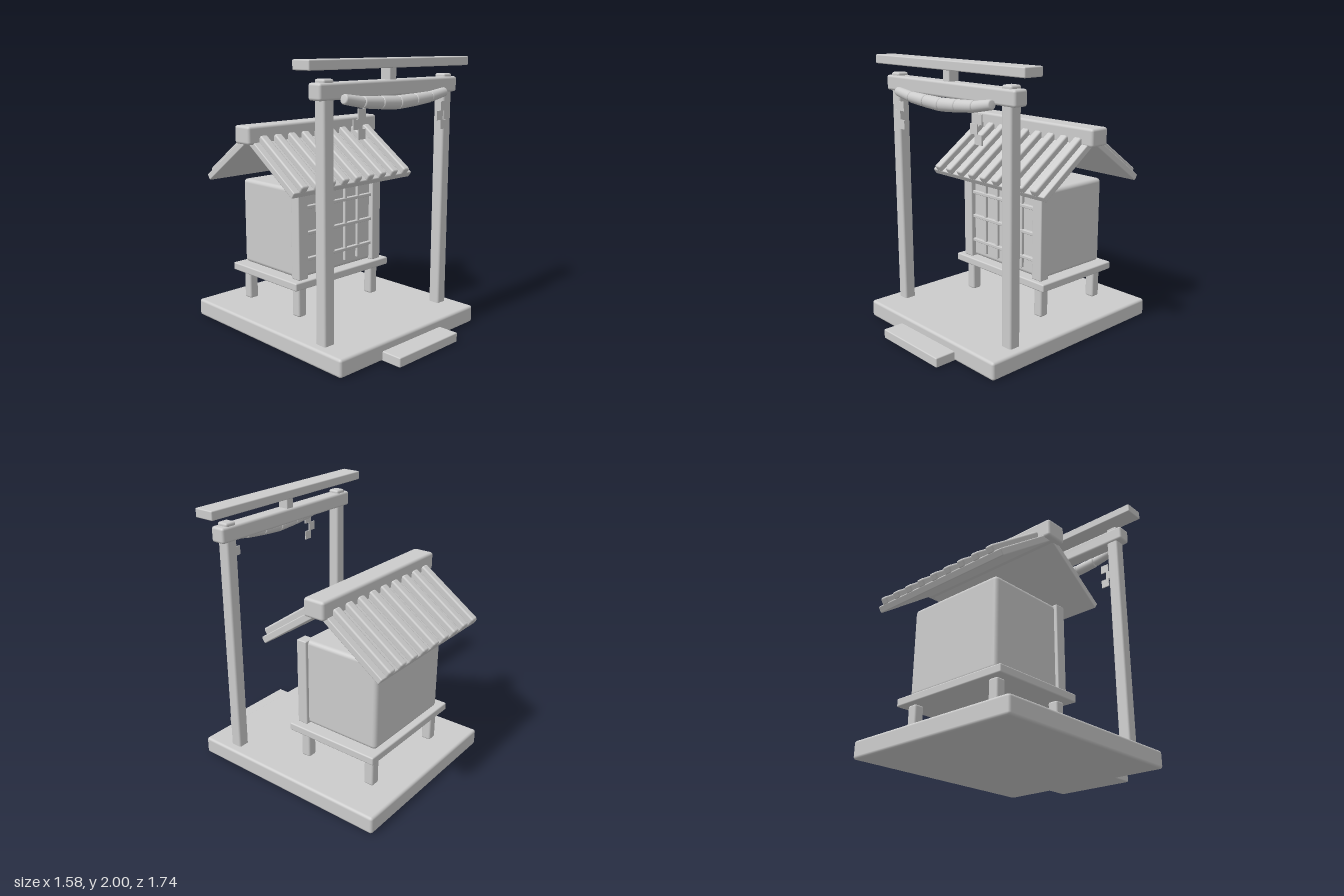
import * as THREE from 'three';
import { RoundedBoxGeometry } from 'three/addons/geometries/RoundedBoxGeometry.js';

const grey = new THREE.MeshStandardMaterial({ color: 0xcccccc });
grey.name = 'plain grey';

// Softly rounded block given by its lower and upper limits on each axis
function block(parent, name, [x0, x1], [y0, y1], [z0, z1], radius = 0.012) {
  const geometry = new RoundedBoxGeometry(x1 - x0, y1 - y0, z1 - z0, 2, radius);
  const mesh = new THREE.Mesh(geometry, grey);
  mesh.name = name;
  mesh.position.set((x0 + x1) / 2, (y0 + y1) / 2, (z0 + z1) / 2);
  parent.add(mesh);
  return mesh;
}

function part(parent, name) {
  const group = new THREE.Group();
  group.name = name;
  parent.add(group);
  return group;
}

const around = (c, w) => [c - w / 2, c + w / 2];

// Rope segment: rounded cylinder between two points
function ropeSegment(parent, a, b, r0, r1) {
  const length = a.distanceTo(b);
  const h = length / 2, c = 0.01;
  const profile = [
    [0, -h], [r0 - c, -h], [r0 - c * 0.3, -h + c * 0.3], [r0, -h + c],
    [r1, h - c], [r1 - c * 0.3, h - c * 0.3], [r1 - c, h], [0, h],
  ].map(([x, y]) => new THREE.Vector2(x, y));
  const mesh = new THREE.Mesh(new THREE.LatheGeometry(profile, 20), grey);
  mesh.name = 'ropeSegment';
  mesh.position.copy(a).add(b).multiplyScalar(0.5);
  mesh.quaternion.setFromUnitVectors(new THREE.Vector3(0, 1, 0), b.clone().sub(a).normalize());
  parent.add(mesh);
}

export function createModel() {
  const model = new THREE.Group();
  model.name = 'shrine';

  // Ground slab and front step
  block(model, 'base', [-0.705, 0.705], [0, 0.13], [-0.87, 0.715], 0.02);
  block(model, 'step', [-0.31, 0.31], [0, 0.07], [0.69, 0.87], 0.008);

  // Gate
  const gate = part(model, 'gate');
  for (const side of [-1, 1]) {
    block(gate, 'gatePost', around(side * 0.595, 0.09), [0.11, 1.88], around(0.457, 0.09), 0.015);
  }
  block(gate, 'lowerBeam', [-0.685, 0.685], [1.747, 1.857], [0.402, 0.515], 0.018);
  block(gate, 'strut', around(0, 0.066), [1.85, 1.945], around(0.457, 0.085), 0.006);
  block(gate, 'topBeam', [-0.79, 0.79], [1.935, 2], [0.38, 0.535], 0.008);

  // Sagging rope, mirrored about the middle
  const rope = part(gate, 'rope');
  const stops = [[0, 1.706, 0.047], [0.17, 1.714, 0.044], [0.34, 1.726, 0.038], [0.508, 1.754, 0.031]];
  for (const side of [-1, 1]) {
    for (let i = 0; i < 3; i++) {
      const [x0, y0, r0] = stops[i], [x1, y1, r1] = stops[i + 1];
      ropeSegment(rope, new THREE.Vector3(side * x0, y0, 0.54),
        new THREE.Vector3(side * x1, y1, 0.54), r0, (r0 + r1) / 2 - 0.001);
    }
  }

  // Zigzag paper streamers
  for (const x of [-0.397, 0.437]) {
    const streamer = part(gate, 'paperStreamer');
    for (let i = 0; i < 3; i++) {
      const piece = new THREE.Mesh(new THREE.BoxGeometry(0.067, 0.066, 0.009), grey);
      piece.name = 'paperFold';
      piece.position.set(x - (i === 1 ? 0.045 : 0), 1.66 - i * 0.065, 0.59);
      streamer.add(piece);
    }
  }

  // Raised floor on four legs
  const house = part(model, 'house');
  for (const x of [-0.377, 0.377]) {
    for (const z of [-0.052, -0.627]) {
      block(house, 'leg', around(x, 0.076), [0.13, 0.362], around(z, 0.076), 0.014);
    }
  }
  block(house, 'floor', [-0.483, 0.483], [0.358, 0.417], [-0.71, 0.035], 0.01);

  // Cabin with corner pillars
  block(house, 'cabin', [-0.4, 0.4], [0.417, 1.078], [-0.67, -0.035], 0.03);
  for (const side of [-1, 1]) {
    block(house, 'cornerPillar', around(side * 0.38, 0.09), [0.417, 1.078], [-0.08, 0.004], 0.008);
  }

  // Front lattice
  const lattice = part(house, 'lattice');
  for (let i = 0; i < 4; i++) {
    block(lattice, 'uprightBar', around(-0.2 + i * 0.133, 0.025), [0.465, 1.035], [-0.045, -0.013], 0.005);
  }
  for (const y of [0.555, 0.75, 0.943]) {
    block(lattice, 'crossBar', [-0.338, 0.338], around(y, 0.025), [-0.045, -0.01], 0.005);
  }

  // Roof: two ribbed slopes meeting under a ridge beam
  const roof = part(house, 'roof');
  roof.position.set(0, 1.405, -0.34);
  for (const turn of [0, Math.PI]) {
    const half = part(roof, 'roofHalf');
    half.rotation.y = turn;
    const slope = part(half, 'roofSlope');
    slope.rotation.x = THREE.MathUtils.degToRad(35);
    block(slope, 'roofSlab', [-0.603, 0.603], [0, 0.05], [0, 0.586], 0.008);
    for (let i = -4; i <= 4; i++) {
      block(slope, 'roofRib', around(i * 0.13, 0.064), [0.04, 0.097], [0.04, 0.588], 0.014);
    }
  }
  block(roof, 'ridgeBeam', [-0.648, 0.648], [-0.01, 0.122], [-0.083, 0.083], 0.02);

  return model;
}
